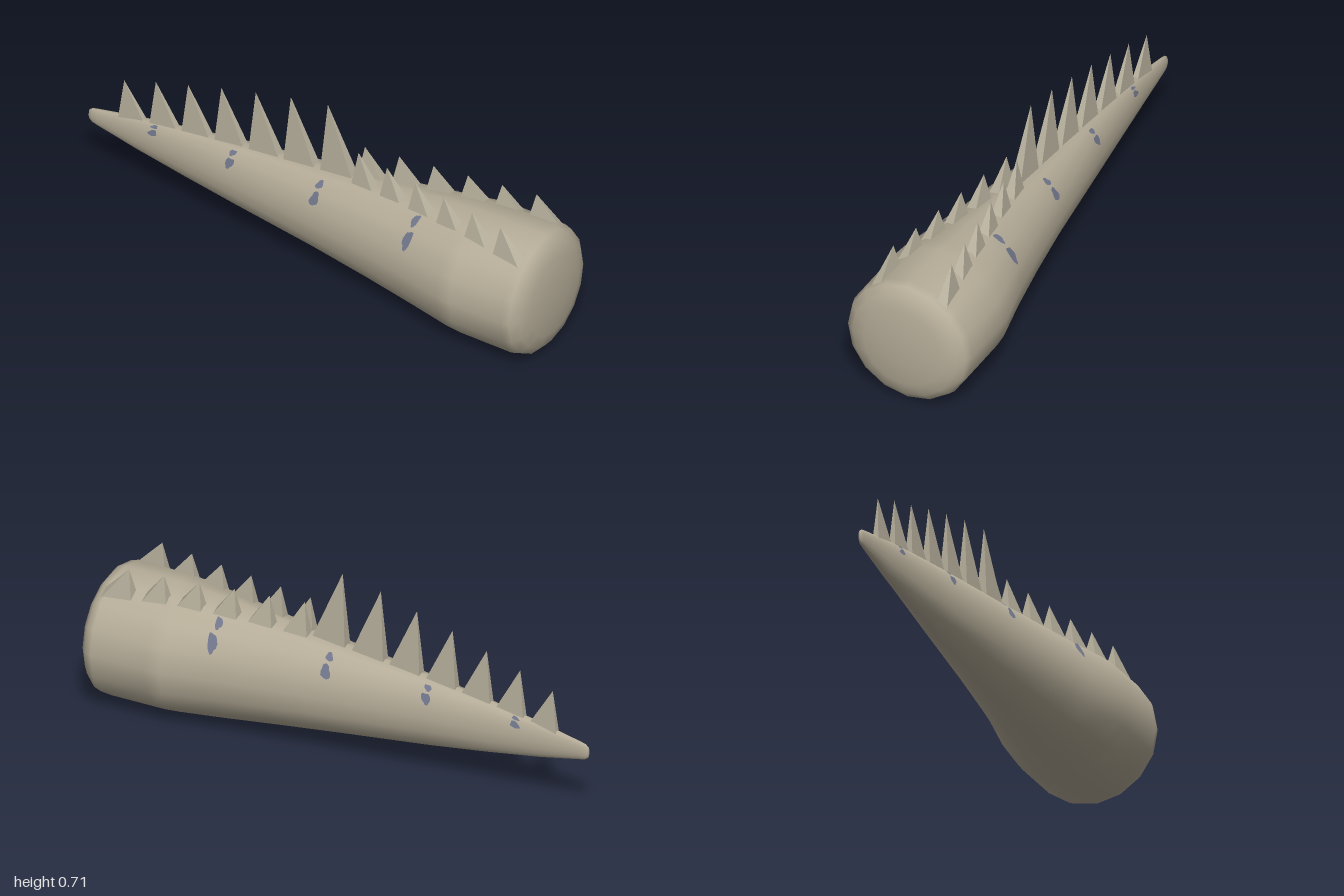
import * as THREE from 'three';

const SIDES = 16, CY = 0.252;
// body stations: x, half height, half width
const STATIONS = [
  [-1, 0, 0], [-0.998, 0.02, 0.006], [-0.985, 0.031, 0.01], [-0.96, 0.037, 0.013], [-0.79, 0.072, 0.027],
  [-0.58, 0.105, 0.05], [-0.36, 0.135, 0.077], [0, 0.175, 0.125], [0.25, 0.203, 0.164],
  [0.46, 0.227, 0.203], [0.64, 0.243, 0.245], [0.7, 0.248, 0.25], [0.92, 0.25, 0.25],
  [0.95, 0.241, 0.241], [0.975, 0.21, 0.21], [0.99, 0.16, 0.16], [0.998, 0.08, 0.08], [1, 0, 0],
];

// half height and half width of the body at x
function radii(x) {
  let i = 1;
  while (i < STATIONS.length - 1 && STATIONS[i][0] < x) i++;
  const a = STATIONS[i - 1], b = STATIONS[i];
  const t = (x - a[0]) / (b[0] - a[0]);
  return [a[1] + (b[1] - a[1]) * t, a[2] + (b[2] - a[2]) * t];
}

const topY = (x, z) => {
  const [ry, rz] = radii(x);
  return CY + ry * Math.sqrt(Math.max(0, 1 - (z / rz) ** 2));
};

// point on the faceted skin, angle measured from the top towards +z
function skin(x, angle, lift) {
  const [ry, rz] = radii(x);
  const step = (Math.PI * 2) / SIDES, k = Math.floor(angle / step), t = angle / step - k;
  const mix = (f) => f(k * step) * (1 - t) + f((k + 1) * step) * t;
  return [x, CY + mix(Math.cos) * ry + Math.cos(angle) * lift, mix(Math.sin) * rz + Math.sin(angle) * lift];
}

function makeGeometry(points, index) {
  const g = new THREE.BufferGeometry();
  g.setAttribute('position', new THREE.Float32BufferAttribute(points.flat(), 3));
  g.setIndex(index);
  g.computeVertexNormals();
  return g;
}

function bodyGeometry() {
  const points = [], index = [];
  for (const [x, ry, rz] of STATIONS) {
    for (let j = 0; j < SIDES; j++) {
      const a = (j / SIDES) * Math.PI * 2;
      points.push([x, CY + Math.cos(a) * ry, Math.sin(a) * rz]);
    }
  }
  for (let i = 0; i < STATIONS.length - 1; i++) {
    for (let j = 0; j < SIDES; j++) {
      const a = i * SIDES + j, b = i * SIDES + ((j + 1) % SIDES);
      const c = a + SIDES, d = b + SIDES;
      index.push(a, b, c, b, d, c);
    }
  }
  const g = makeGeometry(points, index);
  // the collapsed end rings face straight out
  const n = g.attributes.normal, last = (STATIONS.length - 1) * SIDES;
  for (let j = 0; j < SIDES; j++) {
    n.setXYZ(j, -1, 0, 0);
    n.setXYZ(last + j, 1, 0, 0);
  }
  return g;
}

// four-sided spike rooted in the skin, its base skewed along the row
function spikeGeometry(x0, x1, z, halfWidth, slope, apex) {
  const mid = (x0 + x1) / 2;
  const corner = (x, s) => {
    const zz = z + (x - mid) * slope + s * halfWidth;
    return [x, topY(x, zz) - 0.01, zz];
  };
  const A = corner(x0, -1), B = corner(x0, 1), C = corner(x1, 1), D = corner(x1, -1);
  const faces = [B, C, apex, C, D, apex, D, A, apex, A, B, apex, A, D, C, A, C, B];
  return makeGeometry(faces, faces.map((_, i) => i));
}

// thin ragged patch following the skin
function spotGeometry(x, angle, rx, ra, side) {
  const points = [skin(x, angle, 0.003)], index = [], N = 14, R = 3;
  for (let r = 1; r <= R; r++) {
    for (let j = 0; j < N; j++) {
      const t = (j / N) * Math.PI * 2;
      const k = (r / R) * (1 + 0.14 * Math.sin(3 * t + x * 9) + 0.08 * Math.sin(5 * t));
      points.push(skin(x + Math.cos(t) * rx * k + Math.sin(t) * rx * -0.3 * k, angle + Math.sin(t) * ra * k, 0.003));
    }
  }
  for (let j = 0; j < N; j++) {
    const j2 = (j + 1) % N;
    index.push(0, 1 + j2, 1 + j);
    for (let r = 0; r < R - 1; r++) {
      const a = 1 + r * N + j, b = 1 + r * N + j2;
      index.push(a, b, a + N, b, b + N, a + N);
    }
  }
  return makeGeometry(points.map(([px, py, pz]) => [px, py, pz * side]), index);
}

export function createModel() {
  const hide = new THREE.MeshStandardMaterial({ color: 0xb5ac98 });
  hide.name = 'hide';
  const horn = new THREE.MeshStandardMaterial({ color: 0xb5ae9b, flatShading: true });
  horn.name = 'horn';
  const blue = new THREE.MeshStandardMaterial({ color: 0x70758a, side: THREE.DoubleSide });
  blue.name = 'blueGrey';

  const model = new THREE.Group();
  model.name = 'spikedTail';
  const add = (parent, name, geometry, material) => {
    const m = new THREE.Mesh(geometry, material);
    m.name = name;
    parent.add(m);
  };
  const group = (name) => {
    const g = new THREE.Group();
    g.name = name;
    model.add(g);
    return g;
  };

  add(model, 'tailBody', bodyGeometry(), hide);

  // single row of tall spikes along the ridge: apex x, apex y
  const ridge = group('ridgeSpikes');
  [[-0.85, 0.462], [-0.715, 0.51], [-0.577, 0.553], [-0.435, 0.597], [-0.288, 0.637], [-0.138, 0.677], [0.02, 0.707]]
    .forEach(([x, y], i) => {
      const g = spikeGeometry(x - 0.02, x + 0.092 + i * 0.004, 0, 0.012 + i * 0.0015, 0, [x, y, 0]);
      add(ridge, 'ridgeSpike', g, horn);
    });

  // two spreading rows of short spikes
  for (const side of [1, -1]) {
    const row = group(side > 0 ? 'frontSpikeRow' : 'backSpikeRow');
    for (let i = 0; i < 6; i++) {
      const x = 0.165 + i * 0.134, z = side * (0.021 + i * 0.0195);
      const g = spikeGeometry(x - 0.02, x + 0.078 + (i === 5 ? 0.03 : 0), z + side * (0.005 + i * 0.001),
        0.021, side * 0.12, [x, 0.564, z]);
      add(row, 'shortSpike', g, horn);
    }
  }

  // paired blue-grey markings down both flanks
  const spots = group('markings');
  for (const x of [-0.71, -0.36, 0.03, 0.465]) {
    for (const side of [1, -1]) {
      add(spots, 'lowerSpot', spotGeometry(x, 0.95, 0.018, 0.17, side), blue);
      add(spots, 'upperSpot', spotGeometry(x + 0.002, 0.59, 0.014, 0.12, side), blue);
    }
  }
  return model;
}
